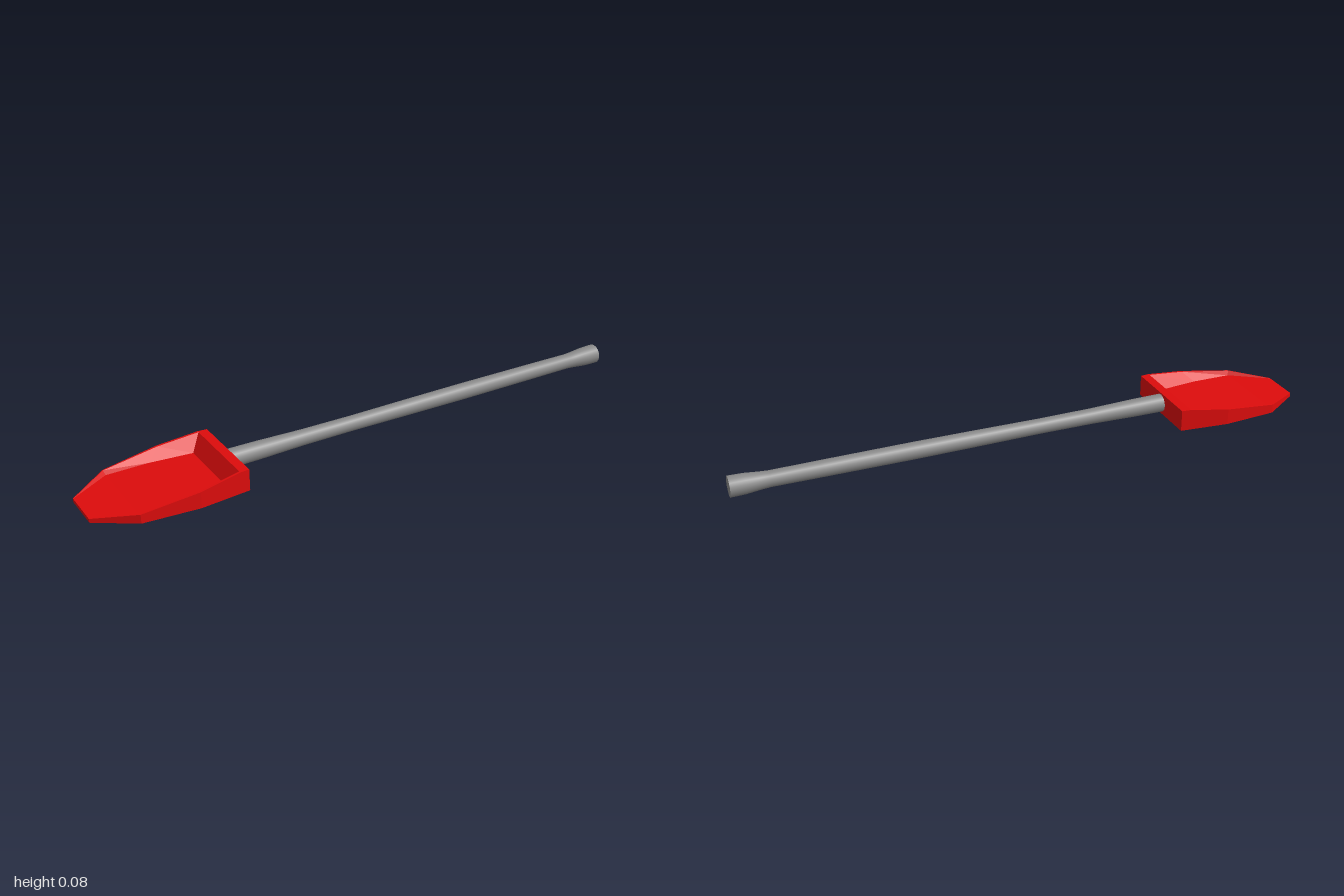
import * as THREE from 'three';

const CENTRE_Y = 0.038;

// Loft a closed ring of points from station to station, with end caps
function loftBlade(stations) {
  const rings = stations.map(({ x, outer, top, rim, floor }) => {
    const [fx, fy, fz] = floor;
    return [
      [x, 0, outer], [x, 0, -outer], [x, top, -outer], [x, top, -rim],
      [fx, fy, -fz], [fx, fy, fz], [x, top, rim], [x, top, outer],
    ];
  });
  const pos = [];
  const quad = (a, b, c, d) => pos.push(...a, ...b, ...c, ...a, ...c, ...d);
  for (let i = 0; i < rings.length - 1; i++) {
    const r = rings[i], s = rings[i + 1];
    for (let k = 0; k < 8; k++) {
      const n = (k + 1) % 8;
      quad(r[k], r[n], s[n], s[k]);
    }
  }
  const first = rings[0], last = rings[rings.length - 1];
  quad(first[7], first[2], first[1], first[0]);
  quad(last[0], last[1], last[2], last[7]);
  const geo = new THREE.BufferGeometry();
  geo.setAttribute('position', new THREE.Float32BufferAttribute(pos, 3));
  geo.computeVertexNormals();
  return geo;
}

export function createModel() {
  const model = new THREE.Group();
  model.name = 'shovel';
  const red = new THREE.MeshStandardMaterial({ color: 0xdd0c0c, flatShading: true, side: THREE.DoubleSide });
  const grey = new THREE.MeshStandardMaterial({ color: 0x888888 });

  // Scoop: wedge with a sunken floor; floor = [x, y, half width]
  const blade = new THREE.Mesh(loftBlade([
    { x: -1.0, outer: 0.068, top: 0.013, rim: 0.066, floor: [-1.0, 0.013, 0.064] },
    { x: -0.87, outer: 0.154, top: 0.031, rim: 0.15, floor: [-0.865, 0.016, 0.143] },
    { x: -0.68, outer: 0.169, top: 0.056, rim: 0.161, floor: [-0.72, 0.02, 0.137] },
    { x: -0.54, outer: 0.155, top: 0.075, rim: 0.147, floor: [-0.577, 0.024, 0.115] },
    // back wall rises to the rim, then the flat rear edge
    { x: -0.54, outer: 0.155, top: 0.075, rim: 0.147, floor: [-0.54, 0.075, 0.14] },
    { x: -0.508, outer: 0.152, top: 0.075, rim: 0.147, floor: [-0.508, 0.075, 0.14] },
  ]), red);
  blade.name = 'blade';
  model.add(blade);

  // Shaft: turned profile [radius, x] with a flared grip end
  const profile = [
    [0.032, -0.512], [0.031, -0.4], [0.027, -0.24], [0.026, -0.05], [0.028, 0.2],
    [0.029, 0.4], [0.028, 0.7], [0.027, 0.87], [0.029, 0.9], [0.034, 0.95], [0.035, 1.0],
  ].map(([r, x]) => new THREE.Vector2(r, x));
  const shaft = new THREE.Mesh(new THREE.LatheGeometry(profile, 16), grey);
  shaft.name = 'shaft';
  shaft.rotation.z = -Math.PI / 2;
  shaft.position.y = CENTRE_Y;
  model.add(shaft);

  // Flat end of the grip
  const cap = new THREE.Mesh(new THREE.CircleGeometry(0.035, 16), grey);
  cap.name = 'gripEnd';
  cap.rotation.y = Math.PI / 2;
  cap.position.set(1, CENTRE_Y, 0);
  model.add(cap);

  return model;
}
